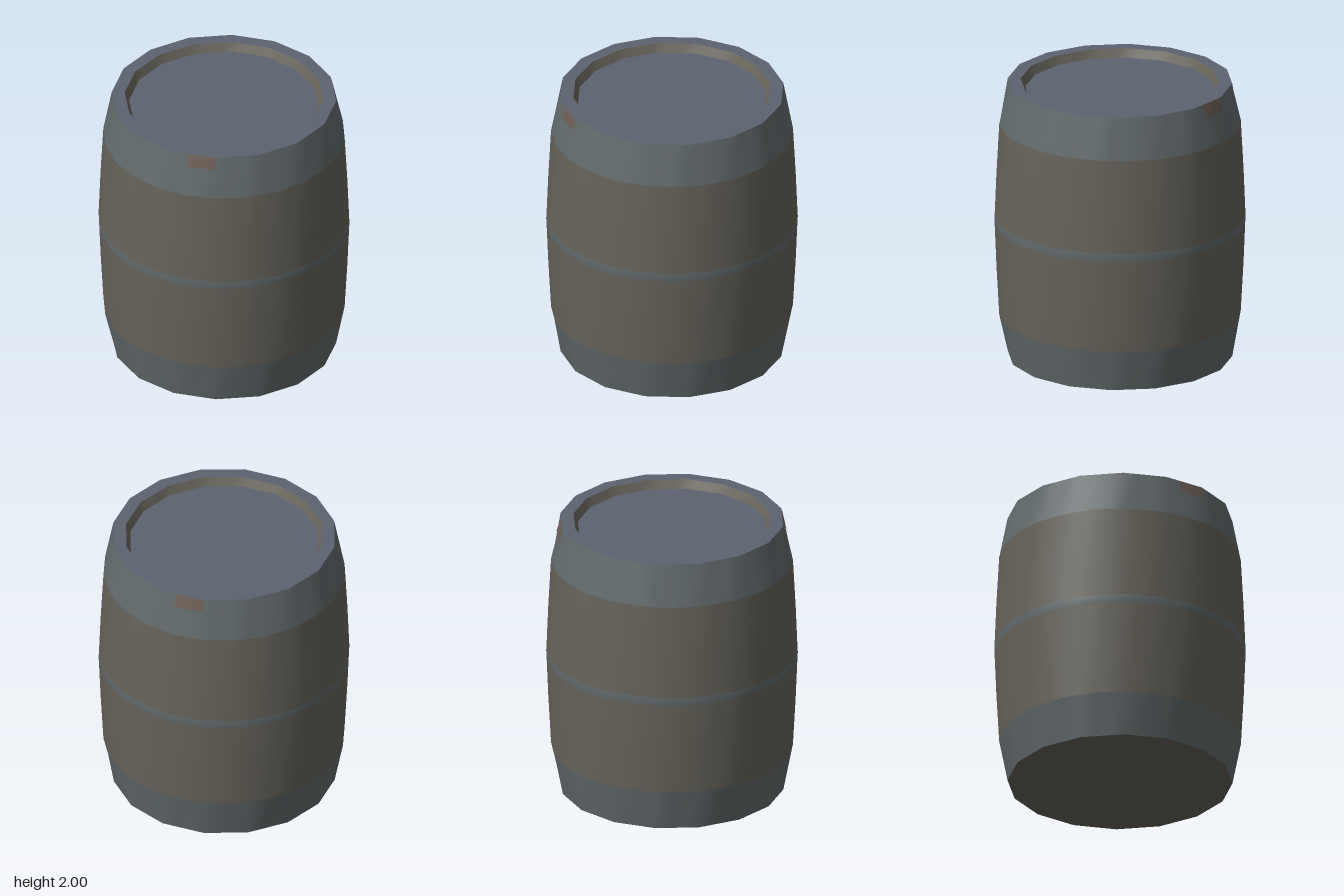
import * as THREE from 'three';

const COLS = 48; // shared grid that holds both 16- and 24-sided rings
const STEP = (Math.PI * 2) / COLS;

// Radius of a regular polygon at column j; 16-sided rings are turned by one column
function polygonRadius(r, sides, j) {
  const span = COLS / sides;
  const local = (((j - (sides === 16 ? 1 : 0)) % span) + span) % span;
  return (r * Math.cos(Math.PI / sides)) / Math.cos((local - span / 2) * STEP);
}

// Skin over rings [y, radius, sides], over all columns or only a part of the turn
function ringSkin(name, color, rings, from = 0, to = COLS) {
  const closed = to - from === COLS;
  const width = closed ? COLS : to - from + 1;
  const position = [];
  const index = [];
  for (const [y, r, sides] of rings) {
    for (let k = 0; k < width; k++) {
      const j = from + k;
      const radius = polygonRadius(r, sides, j);
      position.push(radius * Math.sin(j * STEP), y, -radius * Math.cos(j * STEP));
    }
  }
  for (let i = 0; i < rings.length - 1; i++) {
    for (let k = 0; k < to - from; k++) {
      const a = i * width + k;
      const b = i * width + ((k + 1) % width);
      index.push(a, a + width, b, b, a + width, b + width);
    }
  }
  const geometry = new THREE.BufferGeometry();
  geometry.setAttribute('position', new THREE.Float32BufferAttribute(position, 3));
  geometry.setIndex(index);
  geometry.computeVertexNormals();
  const mesh = new THREE.Mesh(geometry, new THREE.MeshStandardMaterial({ color }));
  mesh.name = name;
  return mesh;
}

export function createModel() {
  const barrel = new THREE.Group();
  barrel.name = 'barrel';

  const wood = 0x66635a;
  const iron = 0x626a6c;
  const rim = 0x5c6370;
  const rust = 0x6c5d55;

  // Underside
  barrel.add(ringSkin('bottom', wood, [[0, 0, 16], [0, 0.78, 16]]));

  // Bulging side: wide end hoops, staves and a narrow middle hoop
  barrel.add(ringSkin('lowerHoop', iron, [[0, 0.78, 16], [0.3, 0.838, 24]]));
  barrel.add(ringSkin('lowerStaves', wood, [[0.3, 0.838, 24], [0.65, 0.857, 24], [0.97, 0.87, 24]]));
  barrel.add(ringSkin('middleHoop', iron, [[0.97, 0.87, 24], [1, 0.872, 24], [1.03, 0.87, 24]]));
  barrel.add(ringSkin('upperStaves', wood, [[1.03, 0.87, 24], [1.35, 0.857, 24], [1.7, 0.838, 24]]));
  barrel.add(ringSkin('upperHoop', iron, [[1.7, 0.838, 24], [2, 0.78, 16]]));

  // Flat rim, short inner wall and the recessed lid
  barrel.add(ringSkin('rim', rim, [[2, 0.78, 16], [2, 0.69, 16]]));
  barrel.add(ringSkin('innerWall', wood, [[2, 0.69, 16], [1.94, 0.66, 16]]));
  barrel.add(ringSkin('lid', rim, [[1.94, 0.66, 16], [1.94, 0, 16]]));

  // Rust stains on the upper hoop, front and back
  for (const col of [22, 46]) {
    barrel.add(ringSkin('rustStain', rust, [[1.91, 0.8, 24], [1.999, 0.783, 16]], col, col + 2));
  }

  return barrel;
}
